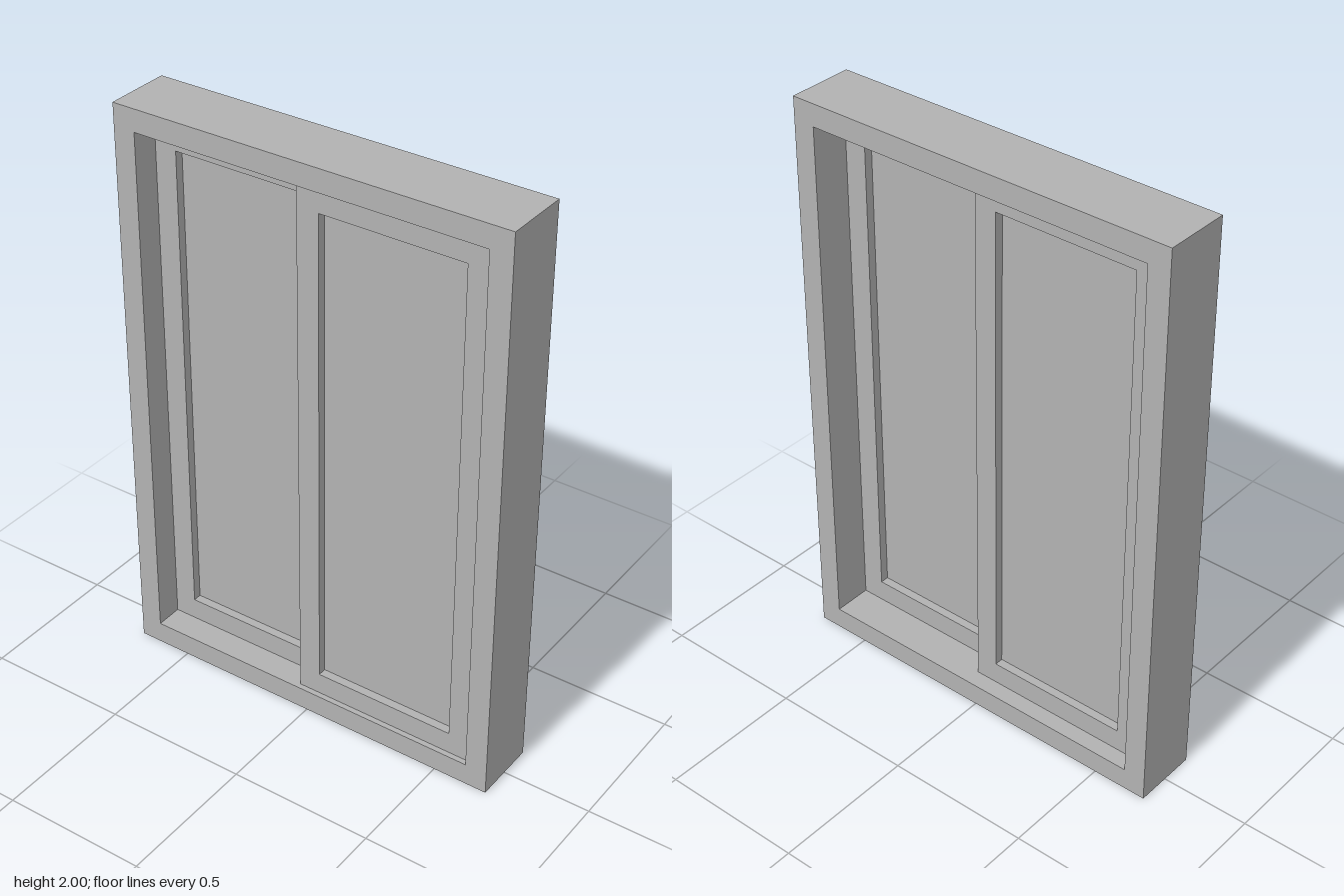
import * as THREE from 'three';

const grey = new THREE.MeshStandardMaterial({ color: 0xb2b2b2 });
grey.name = 'windowGrey';

function rectangle(PathType, x0, y0, x1, y1) {
  const p = new PathType();
  p.moveTo(x0, y0);
  p.lineTo(x1, y0);
  p.lineTo(x1, y1);
  p.lineTo(x0, y1);
  p.closePath();
  return p;
}

// Rectangular border of the given width, extruded from z0 to z1
function border(name, [x0, y0, x1, y1], width, z0, z1) {
  const shape = rectangle(THREE.Shape, x0, y0, x1, y1);
  shape.holes.push(rectangle(THREE.Path, x0 + width, y0 + width, x1 - width, y1 - width));
  const geometry = new THREE.ExtrudeGeometry(shape, { depth: z1 - z0, bevelEnabled: false });
  geometry.translate(0, 0, z0);
  const mesh = new THREE.Mesh(geometry, grey);
  mesh.name = name;
  return mesh;
}

// Sliding sash: a border with a pane set into the middle of its depth
function sash(name, x0, x1, z0, z1) {
  const y0 = 0.077, y1 = 1.923, rail = 0.077, recess = 0.03;
  const group = new THREE.Group();
  group.name = name;
  const pane = new THREE.Mesh(
    new THREE.BoxGeometry(x1 - x0 - 2 * rail, y1 - y0 - 2 * rail, z1 - z0 - 2 * recess), grey);
  pane.position.set((x0 + x1) / 2, (y0 + y1) / 2, (z0 + z1) / 2);
  pane.name = name + 'Pane';
  group.add(border(name + 'Frame', [x0, y0, x1, y1], rail, z0, z1), pane);
  return group;
}

export function createModel() {
  const model = new THREE.Group();
  model.name = 'slidingWindow';
  // Outer frame with two overlapping sashes on separate tracks
  model.add(
    border('outerFrame', [-0.692, 0, 0.692, 2], 0.077, -0.115, 0.115),
    sash('frontSash', -0.039, 0.615, 0.02, 0.096),
    sash('rearSash', -0.615, 0.039, -0.056, 0.02),
  );
  return model;
}
